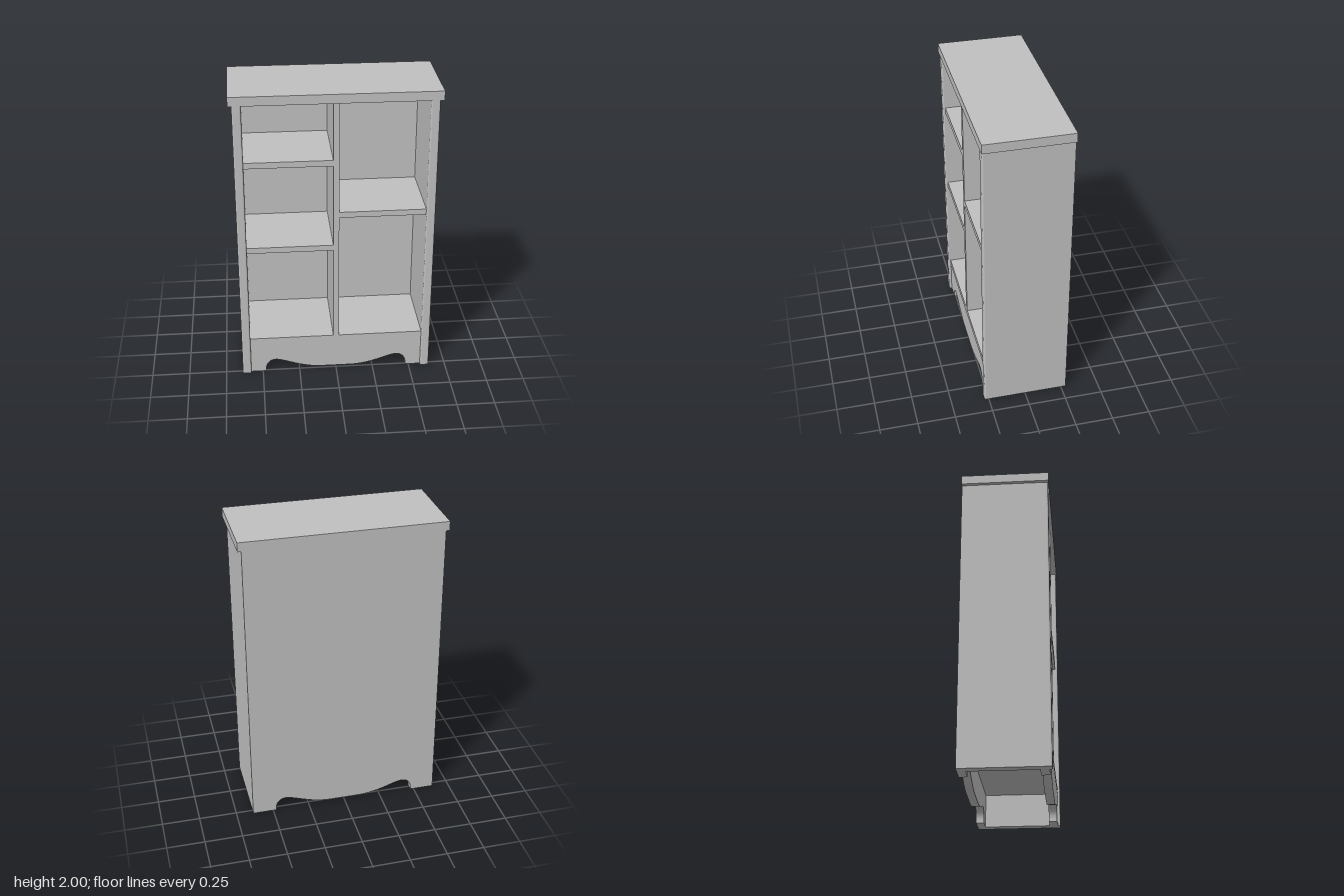
import * as THREE from 'three';

const BACK = -0.283, FRONT = 0.278, INNER = 0.58, OUTER = 0.638;

export function createModel() {
  const group = new THREE.Group();
  const grey = new THREE.MeshStandardMaterial({ color: 0xc0c0c0 });
  grey.name = 'grey';

  const add = (name, geometry) => {
    const mesh = new THREE.Mesh(geometry, grey);
    mesh.name = name;
    group.add(mesh);
    return mesh;
  };
  // box given by its limits on each axis
  const box = (name, x0, x1, y0, y1, z0, z1) =>
    add(name, new THREE.BoxGeometry(x1 - x0, y1 - y0, z1 - z0))
      .position.set((x0 + x1) / 2, (y0 + y1) / 2, (z0 + z1) / 2);

  // overhanging top
  box('top', -0.661, 0.661, 1.94, 2, BACK, 0.283);

  // side panels with rounded front edges, drawn in plan and extruded upwards
  const r = 0.011;
  for (const [name, x0, x1] of [['leftSide', INNER, OUTER], ['rightSide', -OUTER, -INNER]]) {
    const plan = new THREE.Shape();
    plan.moveTo(x0, -BACK);
    plan.lineTo(x0, -FRONT + r);
    plan.absarc(x0 + r, -FRONT + r, r, Math.PI, Math.PI * 1.5);
    plan.absarc(x1 - r, -FRONT + r, r, Math.PI * 1.5, Math.PI * 2);
    plan.lineTo(x1, -BACK);
    const side = new THREE.ExtrudeGeometry(plan, { depth: 1.94, bevelEnabled: false, curveSegments: 6 });
    add(name, side.rotateX(-Math.PI / 2));
  }

  // panel with a scalloped lower edge, used for the back and the front apron
  const scalloped = (name, top, z0, z1) => {
    const s = new THREE.Shape();
    s.moveTo(-INNER, top);
    s.lineTo(-INNER, 0);
    s.lineTo(-0.478, 0);
    s.lineTo(-0.478, 0.022);
    s.bezierCurveTo(-0.475, 0.065, -0.448, 0.09, -0.41, 0.09);
    s.bezierCurveTo(-0.35, 0.088, -0.24, 0.02, -0.1, 0.02);
    s.lineTo(0.1, 0.02);
    s.bezierCurveTo(0.24, 0.02, 0.35, 0.088, 0.41, 0.09);
    s.bezierCurveTo(0.448, 0.09, 0.475, 0.065, 0.478, 0.022);
    s.lineTo(0.478, 0);
    s.lineTo(INNER, 0);
    s.lineTo(INNER, top);
    const panel = new THREE.ExtrudeGeometry(s, { depth: z1 - z0, bevelEnabled: false, curveSegments: 12 });
    add(name, panel.translate(0, 0, z0));
  };
  const inside = -0.23, shelfFront = 0.262;
  scalloped('backPanel', 1.94, BACK, inside);
  scalloped('frontApron', 0.222, 0.205, 0.26);

  // floor, centre divider and staggered shelves
  box('floor', -INNER, INNER, 0.222, 0.264, inside, shelfFront);
  box('divider', -0.019, 0.019, 0.264, 1.94, inside, shelfFront);
  for (const [y0, y1] of [[0.918, 0.957], [1.517, 1.557]])
    box('rightShelf', -INNER, -0.019, y0, y1, inside, shelfFront);
  box('leftShelf', 0.019, INNER, 1.154, 1.193, inside, shelfFront);

  return group;
}
